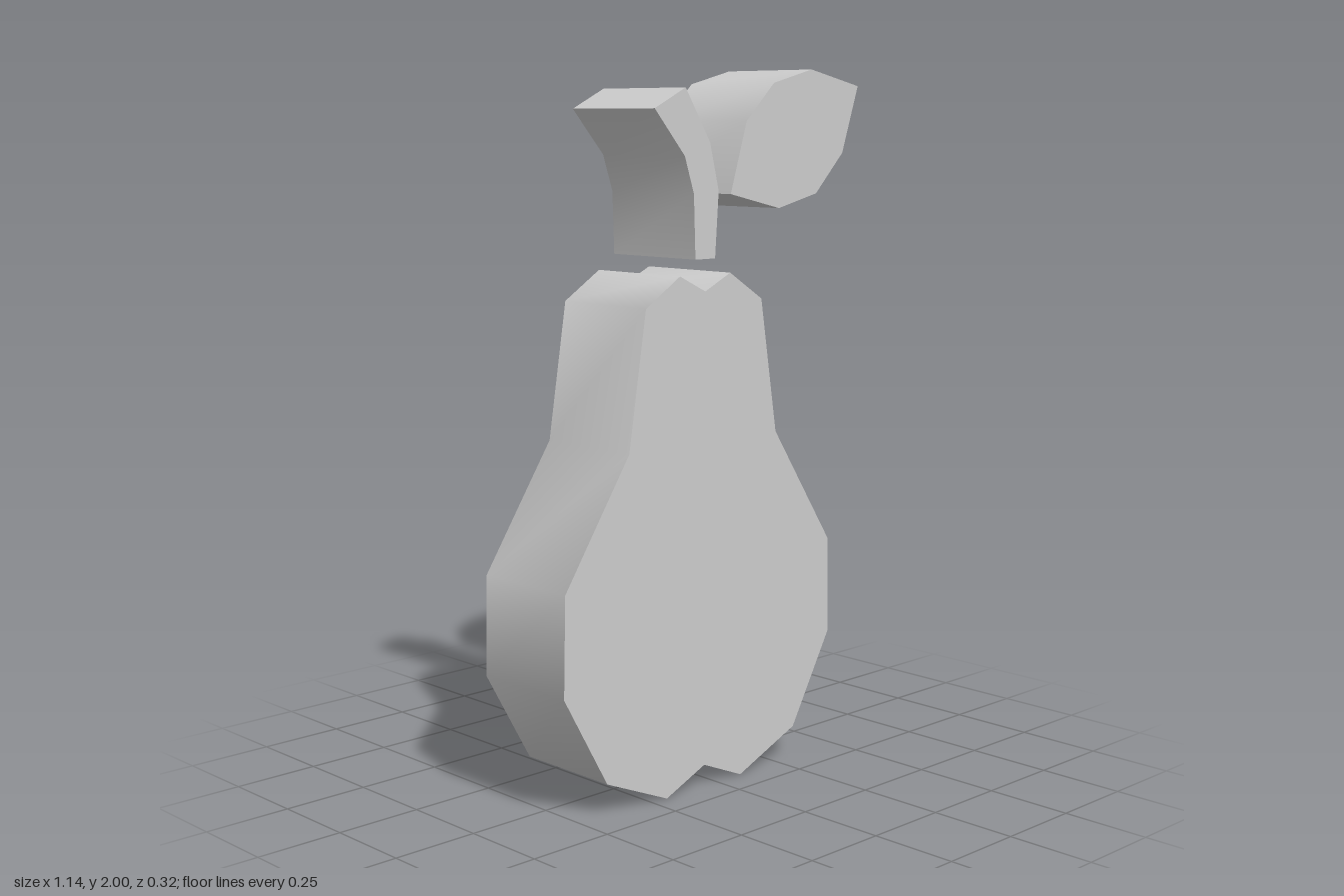
import * as THREE from 'three';
import { toCreasedNormals } from 'three/addons/utils/BufferGeometryUtils.js';

const DEPTH = 0.325;
const CREASE = Math.PI / 3;

// Slab cut from an outline, centred on z = 0, with softly shaded sides
function slab(name, outline, material) {
  const shape = new THREE.Shape(outline.map(([x, y]) => new THREE.Vector2(x, y)));
  const geometry = new THREE.ExtrudeGeometry(shape, { depth: DEPTH, bevelEnabled: false });
  geometry.translate(0, 0, -DEPTH / 2);
  const mesh = new THREE.Mesh(toCreasedNormals(geometry, CREASE), material);
  mesh.name = name;
  return mesh;
}

export function createModel() {
  const group = new THREE.Group();
  group.name = 'pear';
  const material = new THREE.MeshStandardMaterial({ color: 0xcccccc });

  // Body: half outline from bottom to top, mirrored about its own axis
  const axis = -0.052;
  const half = [
    [0.146, 0], [0.368, 0.095], [0.518, 0.36], [0.511, 0.641],
    [0.283, 0.985], [0.221, 1.367], [0.096, 1.446],
  ];
  const body = [
    [axis, 0.063],
    ...half.map(([x, y]) => [axis + x, y]),
    [axis, 1.4],
    ...half.slice().reverse().map(([x, y]) => [axis - x, y]),
  ];
  group.add(slab('body', body, material));

  // Curved stem, floating just above the body
  group.add(slab('stem', [
    [-0.09, 1.488], [-0.015, 1.488], [-0.002, 1.67], [-0.035, 1.8],
    [-0.127, 1.945], [-0.24, 1.89], [-0.13, 1.765], [-0.096, 1.664],
  ], material));

  // Pointed leaf beside the stem
  group.add(slab('leaf', [
    [0.045, 1.66], [0.238, 1.616], [0.392, 1.653], [0.503, 1.766],
    [0.567, 1.956], [0.368, 2], [0.214, 1.961], [0.106, 1.857],
  ], material));

  return group;
}
